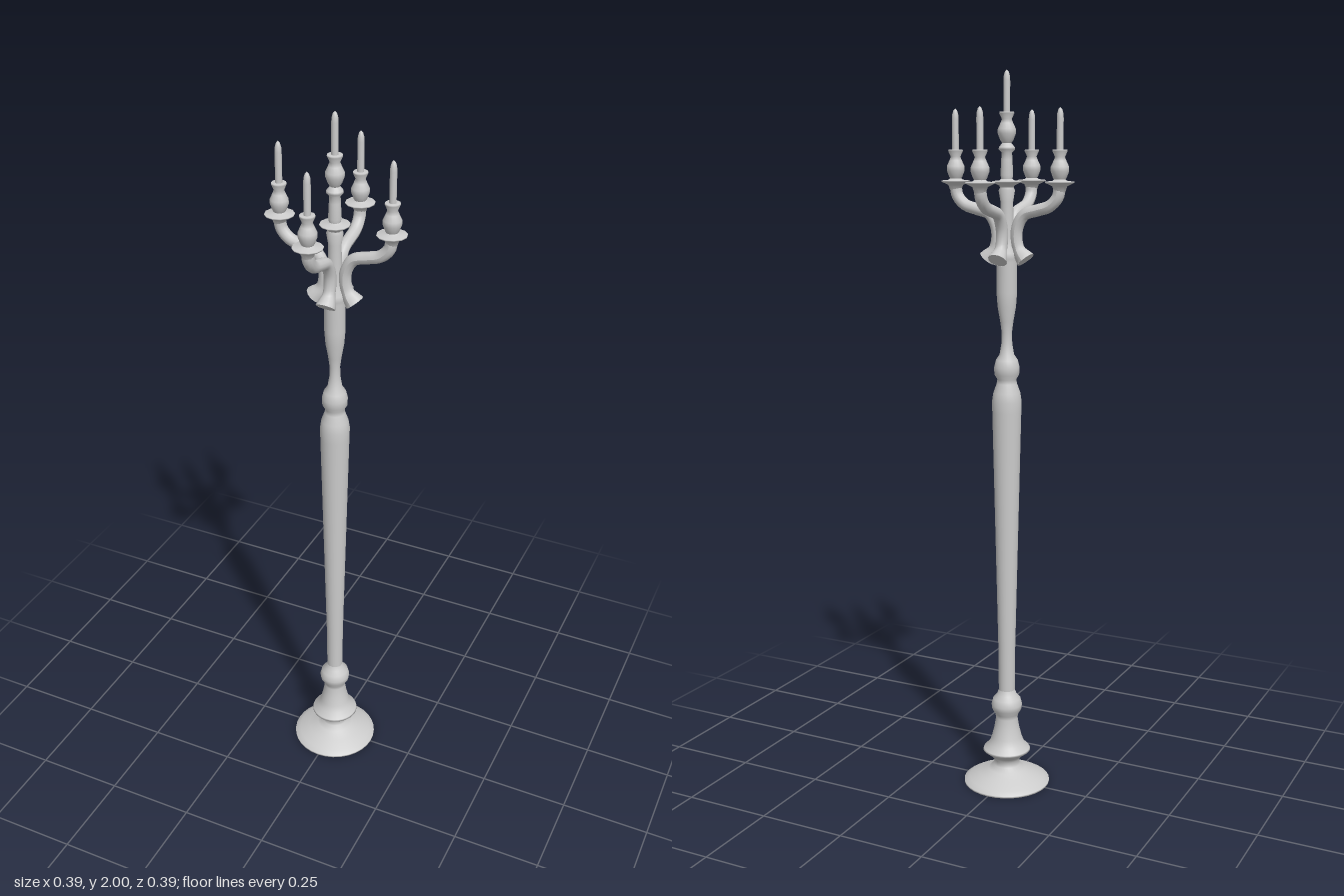
import * as THREE from 'three';

const material = new THREE.MeshStandardMaterial({ color: 0xcccccc, side: THREE.DoubleSide });

// Turned part from [radius, height] pairs, bottom to top
function turned(name, profile, sides) {
  const points = profile.map(([r, y]) => new THREE.Vector2(r, y));
  const mesh = new THREE.Mesh(new THREE.LatheGeometry(points, sides), material);
  mesh.name = name;
  return mesh;
}

// Drip plate, vase-shaped socket and candle; the plate sits at y = 0
function candleHolder(socketLift) {
  const holder = new THREE.Group();
  holder.name = 'candleHolder';
  holder.add(turned('dripPlate', [
    [0.014, -0.025], [0.02, -0.008], [0.039, 0.001], [0.039, 0.004], [0.02, 0.006], [0.012, 0.012],
  ], 12));
  const socket = turned('socket', [
    [0.012, 0.005], [0.018, 0.014], [0.024, 0.03], [0.024, 0.042], [0.017, 0.057],
    [0.013, 0.067], [0.02, 0.082], [0.019, 0.086], [0, 0.086],
  ], 16);
  const candle = turned('candle', [
    [0.009, 0.08], [0.009, 0.165], [0.008, 0.178], [0.005, 0.188], [0, 0.193],
  ], 12);
  socket.position.y = candle.position.y = socketLift;
  holder.add(socket, candle);
  return holder;
}

// Curved arm with a flared tail at its lower end
function armGeometry() {
  const curve = new THREE.CatmullRomCurve3([
    [0.056, 1.508], [0.038, 1.53], [0.029, 1.56], [0.032, 1.595], [0.052, 1.627],
    [0.09, 1.639], [0.125, 1.65], [0.149, 1.675], [0.154, 1.71],
  ].map(([x, y]) => new THREE.Vector3(x, y, 0)));
  const steps = 36, sides = 12;
  const geometry = new THREE.TubeGeometry(curve, steps, 0.017, sides);
  const pos = geometry.attributes.position;
  const v = new THREE.Vector3();
  for (let i = 0; i < pos.count; i++) {
    const t = Math.floor(i / (sides + 1)) / steps;
    const centre = curve.getPointAt(t);
    const scale = 0.95 + 0.6 * Math.max(0, 1 - t / 0.13);
    v.fromBufferAttribute(pos, i).sub(centre).multiplyScalar(scale).add(centre);
    pos.setXYZ(i, v.x, v.y, v.z);
  }
  geometry.computeVertexNormals();
  return geometry;
}

export function createModel() {
  const model = new THREE.Group();
  model.name = 'floorCandelabrum';

  // Foot and lower knop
  model.add(turned('foot', [
    [0, 0], [0.123, 0], [0.123, 0.005], [0.108, 0.014], [0.08, 0.028], [0.052, 0.04],
    [0.038, 0.052], [0.036, 0.067], [0.046, 0.08], [0.068, 0.097], [0.066, 0.102],
    [0.051, 0.117], [0.043, 0.137], [0.036, 0.165], [0.031, 0.195], [0.033, 0.207],
    [0.042, 0.222], [0.044, 0.236], [0.039, 0.254], [0.028, 0.266], [0.023, 0.28],
  ], 32));

  // Tapered shaft, upper knop and baluster neck
  model.add(turned('shaft', [
    [0.023, 0.27], [0.024, 0.4], [0.04, 1.09], [0.041, 1.12], [0.037, 1.145], [0.028, 1.17],
    [0.026, 1.182], [0.034, 1.195], [0.035, 1.215], [0.03, 1.235], [0.02, 1.25], [0.015, 1.28],
    [0.014, 1.31], [0.018, 1.34], [0.025, 1.38], [0.028, 1.42], [0.028, 1.5], [0.031, 1.51],
    [0.031, 1.525], [0.022, 1.54], [0.018, 1.57], [0.017, 1.66], [0.022, 1.69], [0.014, 1.705],
  ], 24));

  // Four arms with their candles
  const geometry = armGeometry();
  const cap = new THREE.CircleGeometry(0.026, 12);
  for (let i = 0; i < 4; i++) {
    const branch = new THREE.Group();
    branch.name = 'branch' + (i + 1);
    const arm = new THREE.Mesh(geometry, material);
    arm.name = 'arm';
    const tailCap = new THREE.Mesh(cap, material);
    tailCap.name = 'tailCap';
    tailCap.position.set(0.056, 1.508, 0);
    tailCap.lookAt(0.074, 1.486, 0);
    const holder = candleHolder(0);
    holder.position.set(0.154, 1.71, 0);
    branch.add(arm, tailCap, holder);
    branch.rotation.y = i * Math.PI / 2;
    model.add(branch);
  }

  // Taller central candle on a collared neck
  const centre = candleHolder(0.097);
  centre.name = 'centreHolder';
  centre.position.y = 1.71;
  centre.add(turned('centreNeck', [
    [0.014, 0.005], [0.017, 0.02], [0.015, 0.06], [0.014, 0.078],
    [0.022, 0.086], [0.021, 0.092], [0.012, 0.103],
  ], 16));
  model.add(centre);

  return model;
}
